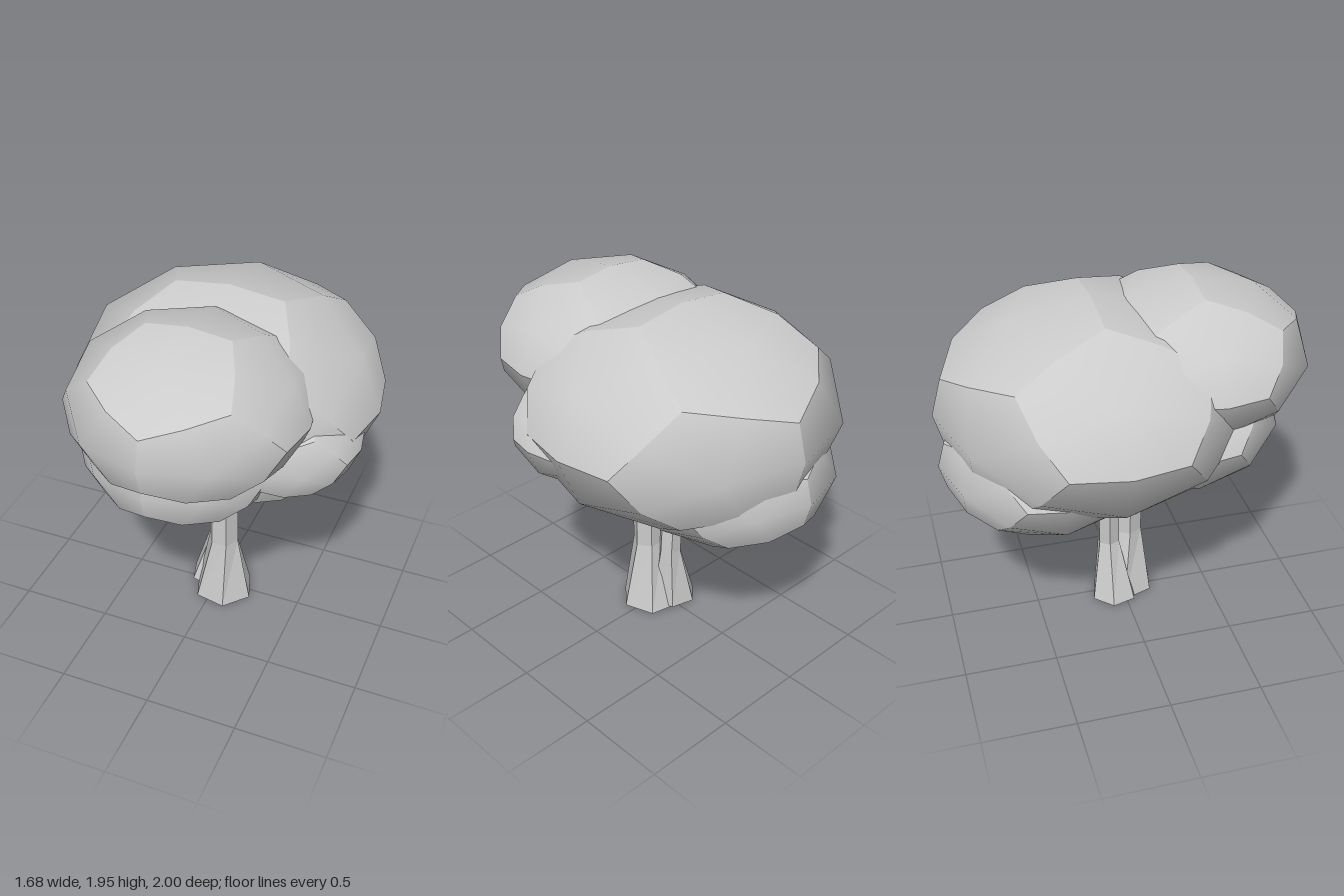
import * as THREE from 'three';

const material = new THREE.MeshStandardMaterial({ color: 0xcccccc });
const barkMaterial = new THREE.MeshStandardMaterial({ color: 0xcccccc, flatShading: true });
const PHI = (1 + Math.sqrt(5)) / 2;

// The three cyclic permutations of (0, +-a, +-b) as unit vectors
function cyclic(a, b) {
  const out = [];
  for (const s of [-1, 1]) for (const t of [-1, 1]) {
    const p = [0, s * a, t * b];
    for (let k = 0; k < 3; k++) {
      out.push(new THREE.Vector3(p[k], p[(k + 1) % 3], p[(k + 2) % 3]).normalize());
    }
  }
  return out;
}

// Twelve domed pentagons: corners of a dodecahedron, edge midpoints and face
// centres all pushed to a sphere; smooth inside a pentagon, sharp between them
function leafGeometry(rx, ry, rz) {
  const corners = cyclic(1 / PHI, PHI);
  for (const x of [-1, 1]) for (const y of [-1, 1]) for (const z of [-1, 1]) {
    corners.push(new THREE.Vector3(x, y, z).normalize());
  }
  const centres = cyclic(PHI, 1);
  const pos = [], index = [];
  for (const c of centres) {
    const ring = corners.filter((p) => p.dot(c) > 0.7);
    const u = ring[0].clone().addScaledVector(c, -ring[0].dot(c)).normalize();
    const v = c.clone().cross(u);
    const angle = (p) => Math.atan2(p.dot(v), p.dot(u));
    ring.sort((a, b) => angle(a) - angle(b));
    const base = pos.length / 3;
    pos.push(...c.toArray());
    ring.forEach((p, i) => {
      const mid = p.clone().add(ring[(i + 1) % 5]).normalize();
      pos.push(...p.toArray(), ...mid.toArray());
    });
    for (let i = 0; i < 10; i++) index.push(base, base + 1 + i, base + 1 + (i + 1) % 10);
  }
  const geo = new THREE.BufferGeometry();
  geo.setAttribute('position', new THREE.Float32BufferAttribute(pos, 3));
  geo.setIndex(index);
  geo.scale(rx, ry, rz);
  geo.computeVertexNormals();
  return geo;
}

// Closed six-sided loft through rings of [x, y, z, radius, turn]
function stemGeometry(rings) {
  const n = 6, pos = [], index = [];
  for (const [x, y, z, r, turn] of rings) {
    for (let i = 0; i < n; i++) {
      const a = turn + (i / n) * Math.PI * 2;
      pos.push(x + r * Math.cos(a), y, z + r * Math.sin(a));
    }
  }
  for (let k = 0; k < rings.length - 1; k++) {
    for (let i = 0; i < n; i++) {
      const a = k * n + i, b = k * n + (i + 1) % n;
      index.push(a, a + n, b, a + n, b + n, b);
    }
  }
  const top = (rings.length - 1) * n;
  for (let i = 1; i < n - 1; i++) {
    index.push(0, i, i + 1, top, top + i + 1, top + i);
  }
  const geo = new THREE.BufferGeometry();
  geo.setAttribute('position', new THREE.Float32BufferAttribute(pos, 3));
  geo.setIndex(index);
  geo.computeVertexNormals();
  return geo;
}

export function createModel() {
  const tree = new THREE.Group();
  tree.name = 'tree';

  const add = (name, geo, mat) => {
    const mesh = new THREE.Mesh(geo, mat);
    mesh.name = name;
    tree.add(mesh);
    return mesh;
  };

  // Foliage: name, centre, horizontal radius, vertical radius
  const clumps = [
    ['mainFoliage', [0, 1.34, -0.16], 0.84, 0.57],
    ['upperFrontFoliage', [0, 1.53, 0.37], 0.63, 0.42],
    ['lowerFrontFoliage', [-0.07, 1.22, 0.27], 0.555, 0.38],
    ['lowerBackFoliage', [-0.07, 1.07, -0.43], 0.57, 0.38],
    ['leftFoliage', [0.4, 1.27, 0.1], 0.42, 0.285],
  ];
  for (const [name, centre, r, ry] of clumps) {
    add(name, leafGeometry(r, ry, r), material).position.set(...centre);
  }

  // Two stems with flared feet, rising into the foliage
  add('frontTrunk', stemGeometry([
    [0.05, 0, 0.025, 0.175, 0.2],
    [0.055, 0.4, 0.045, 0.086, 0],
    [0.055, 0.75, 0.045, 0.086, 0],
    [0.055, 0.95, 0.1, 0.09, 0],
  ]), barkMaterial);
  add('backTrunk', stemGeometry([
    [-0.045, 0.01, -0.055, 0.135, 0.25],
    [0, 0.37, -0.075, 0.064, 0.1],
    [-0.015, 0.67, -0.08, 0.066, 0.1],
    [0.02, 0.92, -0.09, 0.066, 0.1],
  ]), barkMaterial);

  return tree;
}
